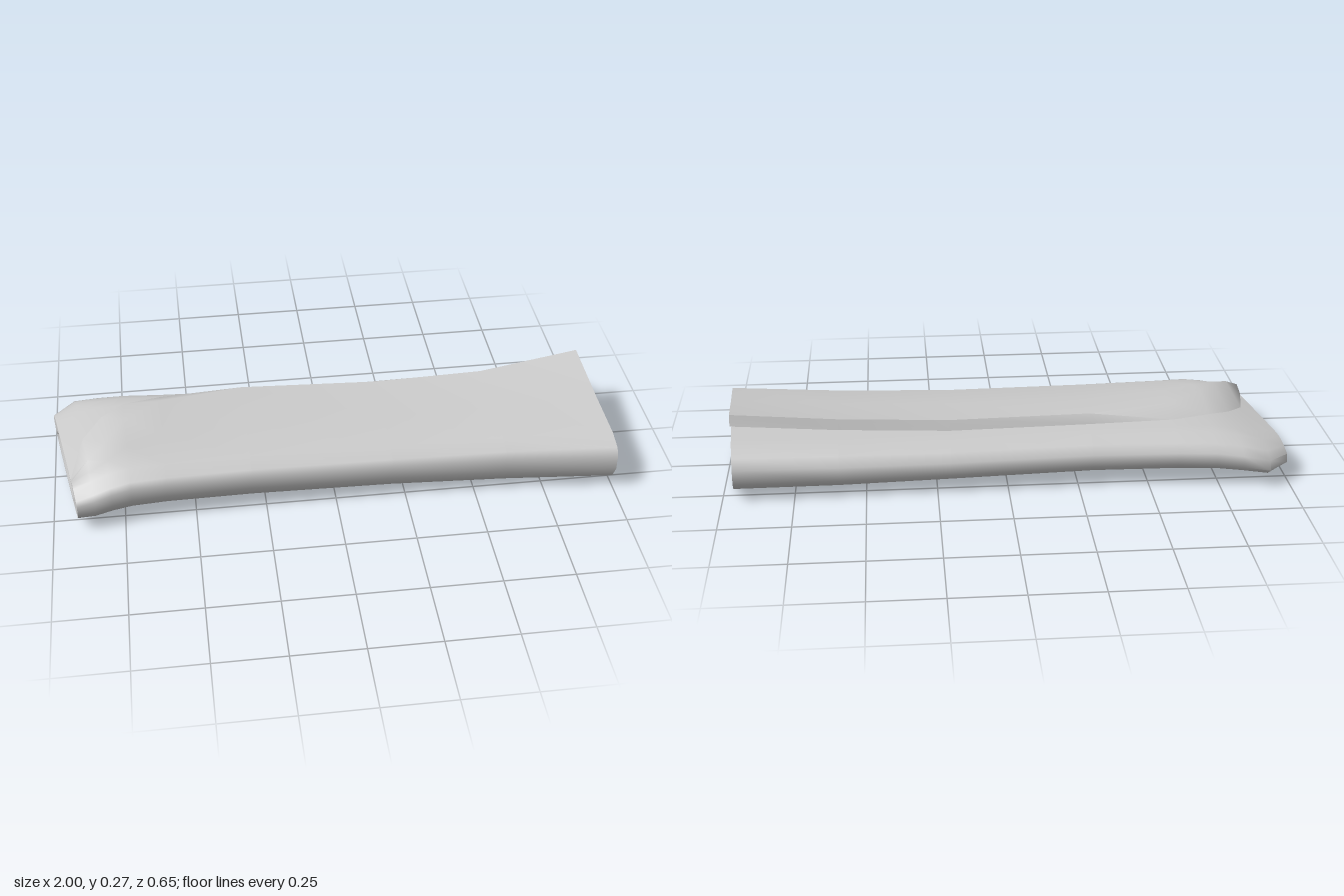
import * as THREE from 'three';
import { toCreasedNormals } from 'three/addons/utils/BufferGeometryUtils.js';

// Stations from the right-hand end to the left-hand end of the roll:
// x, slant (x per z), front z, back z, bottom y, shoulder y, flap top y, flap edge z, bevel width
const STATIONS = [
  [0.98, 0.07, 0.322, -0.305, 0.0, 0.2, 0.275, -0.19, 0.02],
  [0.6, 0.03, 0.285, -0.297, 0.0, 0.19, 0.232, -0.155, 0.015],
  [0.2, 0, 0.27, -0.29, 0.01, 0.183, 0.217, -0.16, 0.015],
  [-0.3, 0, 0.27, -0.28, 0.02, 0.188, 0.23, -0.17, 0.015],
  [-0.6, 0, 0.28, -0.295, 0.025, 0.19, 0.237, -0.17, 0.07],
  [-0.73, 0.03, 0.29, -0.308, 0.025, 0.19, 0.24, -0.14, 0.14],
  [-0.81, 0.07, 0.3, -0.32, 0.02, 0.178, 0.225, -0.09, 0.2],
  [-0.885, 0.12, 0.31, -0.33, 0.012, 0.16, 0.2, 0, 0.17],
  [-0.96, 0.16, 0.315, -0.26, 0.02, 0.14, 0.16, 0.19, 0.04],
];

// Cross-sections as [z, y], fitted to each station
const BODY = [
  [0.25, 0.2], [0.305, 0.175], [0.32, 0.15], [0.32, 0.09], [0.295, 0.04], [0.2, 0.022],
  [0.02, 0.002], [-0.2, 0.01], [-0.275, 0.042], [-0.3, 0.07], [-0.295, 0.12],
  [-0.26, 0.15], [-0.21, 0.178], [-0.16, 0.184],
];
const HOLE = [
  [0.25, 0.125], [0.21, 0.165], [0.1, 0.178], [-0.05, 0.173], [-0.14, 0.153], [-0.2, 0.11],
  [-0.212, 0.07], [-0.19, 0.043], [0.03, 0.03], [0.17, 0.048], [0.245, 0.1],
];
const INNER = [
  [0.115, 0.037], [-0.03, 0.126], [-0.115, 0.142], [-0.192, 0.1],
  [-0.2, 0.11], [-0.12, 0.153], [-0.02, 0.14], [0.13, 0.043],
];

const lerp = THREE.MathUtils.lerp;

function fit(s, [z, y]) {
  const [, , zF, zB, yB, yS] = s;
  return [zB + ((z + 0.3) / 0.62) * (zF - zB), yB + (y * (yS - yB)) / 0.2];
}

// Outer loop: bevelled flap edge, body, then the slot under the flap
function outerLoop(s) {
  const yS = s[5], yTip = s[6], edge = s[7], bevel = s[8];
  const body = BODY.map((p) => fit(s, p));
  const slot = fit(s, [0.07, 0.189]);
  slot[0] = Math.max(slot[0], edge + 0.03);
  const top = [edge + bevel, yTip];
  const mid = [lerp(top[0], body[0][0], 0.55), lerp(yTip, yS, 0.6)];
  return [top, mid, ...body, slot, [edge, Math.max(yTip - 0.035, slot[1] + 0.003)]];
}

const place = (s, [z, y]) => [s[0] + s[1] * z, y, z];

// Skin between successive loops
function loft(out, loops) {
  for (let k = 0; k + 1 < loops.length; k++) {
    const a = loops[k], b = loops[k + 1];
    for (let i = 0; i < a.length; i++) {
      const j = (i + 1) % a.length;
      out.push(...a[i], ...b[i], ...a[j], ...a[j], ...b[i], ...b[j]);
    }
  }
}

// End face, optionally pierced by a hole
function cap(out, loop, holes, facesLeft) {
  const flat = (l) => l.map(([, y, z]) => new THREE.Vector2(-z, y));
  const all = [...loop, ...holes.flat()];
  for (const [a, b, c] of THREE.ShapeUtils.triangulateShape(flat(loop), holes.map(flat))) {
    for (const i of facesLeft ? [a, c, b] : [a, b, c]) out.push(...all[i]);
  }
}

function makeMesh(name, positions) {
  const geometry = new THREE.BufferGeometry();
  geometry.setAttribute('position', new THREE.Float32BufferAttribute(positions, 3));
  const material = new THREE.MeshStandardMaterial({ color: 0xcccccc, side: THREE.DoubleSide });
  const mesh = new THREE.Mesh(toCreasedNormals(geometry, 1.1), material);
  mesh.name = name;
  return mesh;
}

export function createModel() {
  const group = new THREE.Group();
  group.name = 'rolledSheet';
  const loops = (fn) => STATIONS.map((s) => fn(s).map((p) => place(s, p)));
  const outer = loops(outerLoop);
  const hole = loops((s) => HOLE.map((p) => fit(s, p)));
  const inner = loops((s) => INNER.map((p) => fit(s, p)));
  const last = STATIONS.length - 1;

  // Outer wrap with its overlapping flap and rolled rims
  const wrap = [];
  loft(wrap, outer);
  cap(wrap, outer[0], [hole[0]], false);
  cap(wrap, outer[last], [hole[last]], true);
  group.add(makeMesh('outerWrap', wrap));

  // Hollow core
  const core = [];
  loft(core, hole);
  group.add(makeMesh('coreWall', core));

  // Closed back of the hollow, just inside the left end
  const stop = [];
  cap(stop, [...hole[last - 1]].reverse(), [], false);
  group.add(makeMesh('coreStop', stop));

  // Inner end of the sheet, curling through the core
  const curl = [];
  const span = inner.slice(0, last);
  loft(curl, span);
  cap(curl, span[0], [], false);
  cap(curl, span[span.length - 1], [], true);
  group.add(makeMesh('innerCurl', curl));

  return group;
}
